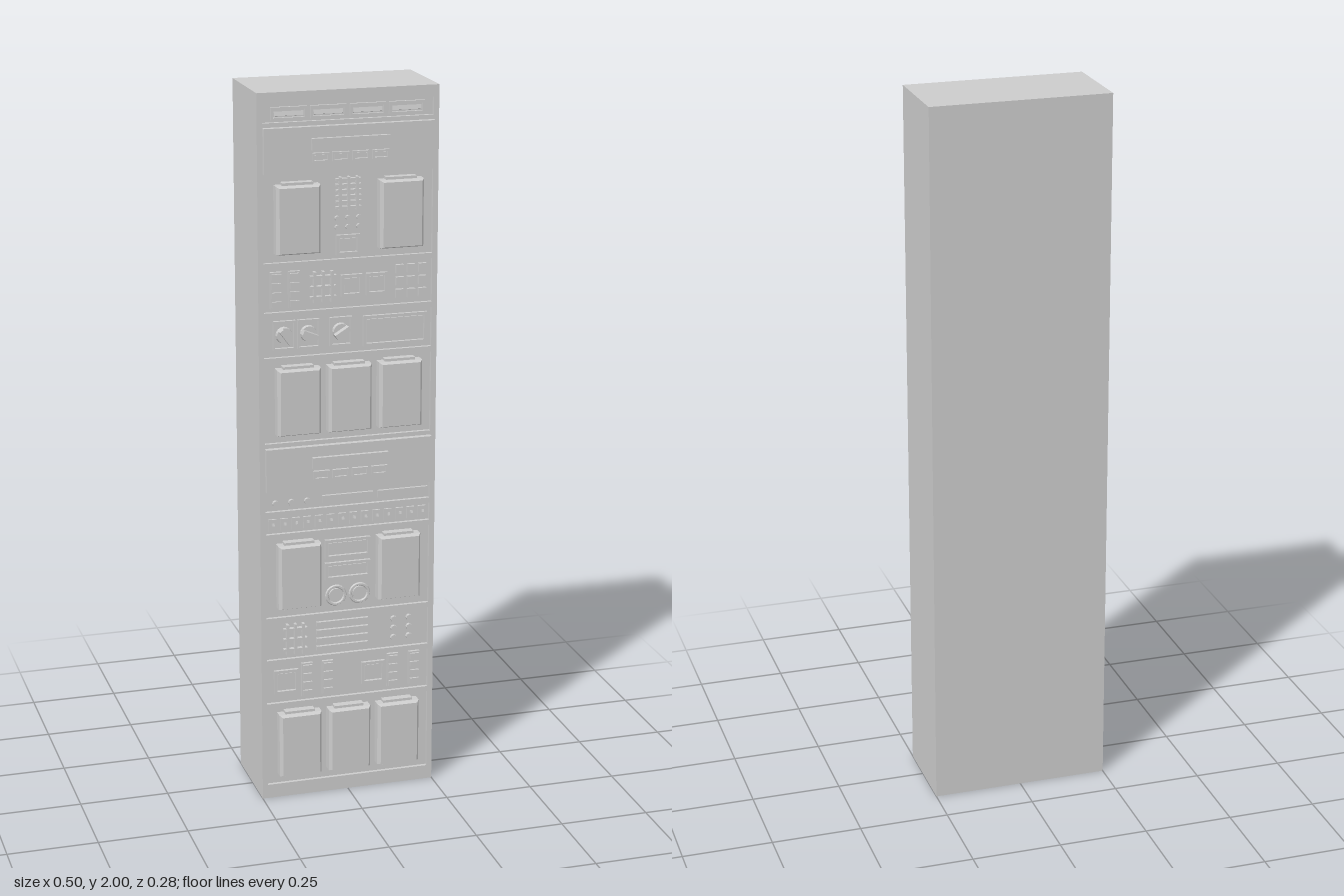
import * as THREE from 'three';

const FLOOR = 0.1;   // depth of the recessed bay floors
const FACE = 0.11;   // front of the cabinet frame

export function createModel() {
  const root = new THREE.Group();
  root.name = 'equipmentCabinet';
  const mat = new THREE.MeshStandardMaterial({ color: 0xcccccc, flatShading: true });

  const add = (parent, name, geo, x = 0, y = 0, z = 0) => {
    const m = new THREE.Mesh(geo, mat);
    m.name = name;
    m.position.set(x, y, z);
    parent.add(m);
    return m;
  };
  // Box centred on x, y and running from z0 to z1
  const block = (parent, name, x, y, w, h, z0, z1) =>
    add(parent, name, new THREE.BoxGeometry(w, h, z1 - z0), x, y, (z0 + z1) / 2);
  const group = (name, x = 0, y = 0) => {
    const g = new THREE.Group();
    g.name = name;
    g.position.set(x, y, 0);
    root.add(g);
    return g;
  };
  const rectPath = (target, x0, y0, x1, y1) => {
    target.moveTo(x0, y0);
    target.lineTo(x1, y0);
    target.lineTo(x1, y1);
    target.lineTo(x0, y1);
    target.closePath();
    return target;
  };
  // Rectangular frame extruded from z0 to z1, with rectangular holes
  const plate = (parent, name, outer, holes, z0, z1) => {
    const s = rectPath(new THREE.Shape(), ...outer);
    holes.forEach((h) => s.holes.push(rectPath(new THREE.Path(), ...h)));
    const geo = new THREE.ExtrudeGeometry(s, { depth: z1 - z0, bevelEnabled: false });
    return add(parent, name, geo, 0, 0, z0);
  };

  // Cabinet body and front frame with recessed bays [bottom, top]
  block(root, 'cabinetBody', 0, 1, 0.5, 2, -0.14, FLOOR);
  const bays = [
    [0.04, 0.27], [0.285, 0.4], [0.415, 0.525], [0.54, 0.77], [0.785, 0.835], [0.85, 0.895],
    [1.045, 1.27], [1.285, 1.395], [1.41, 1.53], [1.545, 1.775], [1.92, 1.968],
  ];
  plate(root, 'frontFrame', [-0.25, 0, 0.25, 2],
    bays.map(([a, b]) => [-0.235, a, 0.235, b]), FLOOR, FACE);

  // Plug-in module: base, chamfered cover and narrow lips
  const drawer = (x, y) => {
    const g = group('drawer', x, y);
    block(g, 'drawerBase', 0, 0, 0.122, 0.185, FLOOR, 0.126);
    const cover = new THREE.BoxGeometry(0.122, 0.185, 0.011);
    const p = cover.attributes.position;
    for (let i = 0; i < p.count; i++) {
      if (p.getZ(i) > 0) p.setXY(i, p.getX(i) * 0.88, p.getY(i) * 0.95);
    }
    cover.computeVertexNormals();
    add(g, 'drawerCover', cover, 0, 0, 0.1315);
    for (const s of [-1, 1]) block(g, 'drawerLip', 0, s * 0.096, 0.085, 0.007, FLOOR, 0.122);
  };
  for (const y of [0.162, 1.162]) [-0.143, 0, 0.143].forEach((x) => drawer(x, y));
  for (const y of [0.662, 1.662]) [-0.143, 0.143].forEach((x) => drawer(x, y));

  // Raised header panels with a label strip and four buttons
  for (const y of [0.972, 1.847]) {
    const g = group('headerPanel', 0, y);
    block(g, 'headerPlate', 0, 0, 0.47, 0.122, FLOOR, 0.126);
    block(g, 'headerStrip', 0, 0.015, 0.215, 0.032, 0.126, 0.137);
    for (let i = 0; i < 4; i++) {
      const x = -0.0825 + i * 0.055;
      plate(g, 'buttonFrame', [x - 0.023, -0.033, x + 0.023, -0.008],
        [[x - 0.018, -0.028, x + 0.018, -0.013]], 0.126, 0.134);
      block(g, 'headerButton', x, -0.0205, 0.034, 0.013, 0.126, 0.131);
    }
  }

  // Slotted vents along the top
  for (let i = 0; i < 4; i++) {
    const x = -0.162 + i * 0.108;
    plate(root, 'ventFrame', [x - 0.049, 1.926, x + 0.049, 1.96],
      [[x - 0.043, 1.932, x + 0.043, 1.953]], FLOOR, 0.108);
    block(root, 'ventSlat', x, 1.942, 0.08, 0.012, FLOOR, 0.105).rotation.x = -0.25;
  }

  // Column of four stacked switches in a frame
  const ladder = (x, y) => {
    const g = group('switchColumn', x, y);
    block(g, 'columnBack', 0, 0, 0.032, 0.1, FLOOR, 0.109);
    for (let i = 0; i < 4; i++) {
      block(g, 'columnSwitch', 0, -0.0375 + i * 0.025, 0.026, 0.016, 0.109, 0.115);
    }
  };
  [-0.2, -0.15].forEach((x) => ladder(x, 1.47));
  [-0.118, -0.058, 0.132, 0.195].forEach((x) => ladder(x, 0.346));

  // Crossed-bar grilles
  const grille = (x, y, w, h, cols, rows) => {
    const g = group('grille', x, y);
    for (let i = 0; i < cols; i++) {
      block(g, 'grilleBar', ((i + 0.5) / cols - 0.5) * w, 0, 0.007, h, FLOOR, 0.115);
    }
    for (let i = 0; i < rows; i++) {
      block(g, 'grilleRung', 0, ((i + 0.5) / rows - 0.5) * h, w, 0.006, FLOOR, 0.113);
    }
  };
  grille(0, 1.722, 0.07, 0.09, 3, 6);
  grille(-0.07, 1.472, 0.072, 0.085, 3, 3);
  grille(-0.152, 0.472, 0.068, 0.09, 3, 3);

  // Small framed screens [x, y, width, height]
  const screens = [
    [0, 1.582, 0.066, 0.055], [0.01, 1.47, 0.06, 0.06], [0.08, 1.47, 0.06, 0.06],
    [0.133, 1.34, 0.18, 0.085], [0, 0.725, 0.13, 0.055], [0, 0.66, 0.13, 0.05],
    [-0.178, 0.346, 0.07, 0.07], [0.075, 0.346, 0.068, 0.065],
  ];
  for (const [x, y, w, h] of screens) {
    const [a, b] = [w / 2, h / 2];
    plate(root, 'screenFrame', [x - a, y - b, x + a, y + b],
      [[x - a + 0.008, y - b + 0.008, x + a - 0.008, y + b - 0.008]], FLOOR, 0.109);
    block(root, 'screenPane', x, y, w - 0.022, h - 0.022, FLOOR, 0.104);
  }

  // Rotary selectors with tilted lever handles
  [[-0.178, -0.95], [-0.11, -0.4], [-0.02, 0.55]].forEach(([x, turn]) => {
    const g = group('selector', x, 1.345);
    plate(g, 'selectorFrame', [-0.031, -0.04, 0.031, 0.04],
      [[-0.026, -0.035, 0.026, 0.035]], FLOOR, 0.109);
    add(g, 'selectorDial', new THREE.CylinderGeometry(0.021, 0.023, 0.01, 16), 0, 0, 0.105)
      .rotation.x = Math.PI / 2;
    block(g, 'selectorLever', 0, 0, 0.044, 0.013, 0.108, 0.129).rotation.z = turn;
  });

  // Round gauges
  for (const x of [-0.034, 0.034]) {
    add(root, 'gaugeRing', new THREE.TorusGeometry(0.026, 0.005, 6, 20), x, 0.588, 0.104);
    add(root, 'gaugeFace', new THREE.CylinderGeometry(0.019, 0.019, 0.006, 20), x, 0.588, 0.103)
      .rotation.x = Math.PI / 2;
  }

  // Knobs and keys laid out in rows
  const knobs = (name, cols, rows, x0, y0, dx, dy, r, z1) => {
    for (let i = 0; i < cols * rows; i++) {
      const x = x0 + (i % cols) * dx, y = y0 + Math.floor(i / cols) * dy;
      add(root, name, new THREE.CylinderGeometry(r, r, z1 - FLOOR, 8), x, y, (FLOOR + z1) / 2)
        .rotation.x = Math.PI / 2;
    }
  };
  knobs('panelKnob', 2, 3, 0.135, 0.443, 0.045, 0.028, 0.009, 0.11);
  knobs('smallKnob', 3, 1, -0.205, 0.872, 0.045, 0, 0.009, 0.11);
  knobs('indicatorLamp', 3, 2, -0.03, 1.63, 0.03, 0.025, 0.007, 0.109);
  for (let i = 0; i < 9; i++) {
    block(root, 'keyCap', 0.145 + (i % 3) * 0.032, 1.438 + Math.floor(i / 3) * 0.034,
      0.022, 0.024, FLOOR, 0.11);
  }
  for (let i = 0; i < 14; i++) {
    const x = -0.214 + i * 0.033;
    block(root, 'toggleBase', x, 0.81, 0.022, 0.034, FLOOR, 0.106);
    block(root, 'toggleLever', x, 0.814, 0.006, 0.008, 0.106, 0.116).rotation.x = -0.3;
  }

  // Horizontal bars in the thin bay and the lower bay
  for (let i = 0; i < 2; i++) {
    block(root, 'longSlider', 0 + i * 0.158, 0.872, 0.145, 0.022, FLOOR, 0.108);
  }
  for (let i = 0; i < 4; i++) {
    block(root, 'cardBar', -0.015, 0.435 + i * 0.024, 0.15, 0.013, FLOOR, 0.109);
  }
  return root;
}
